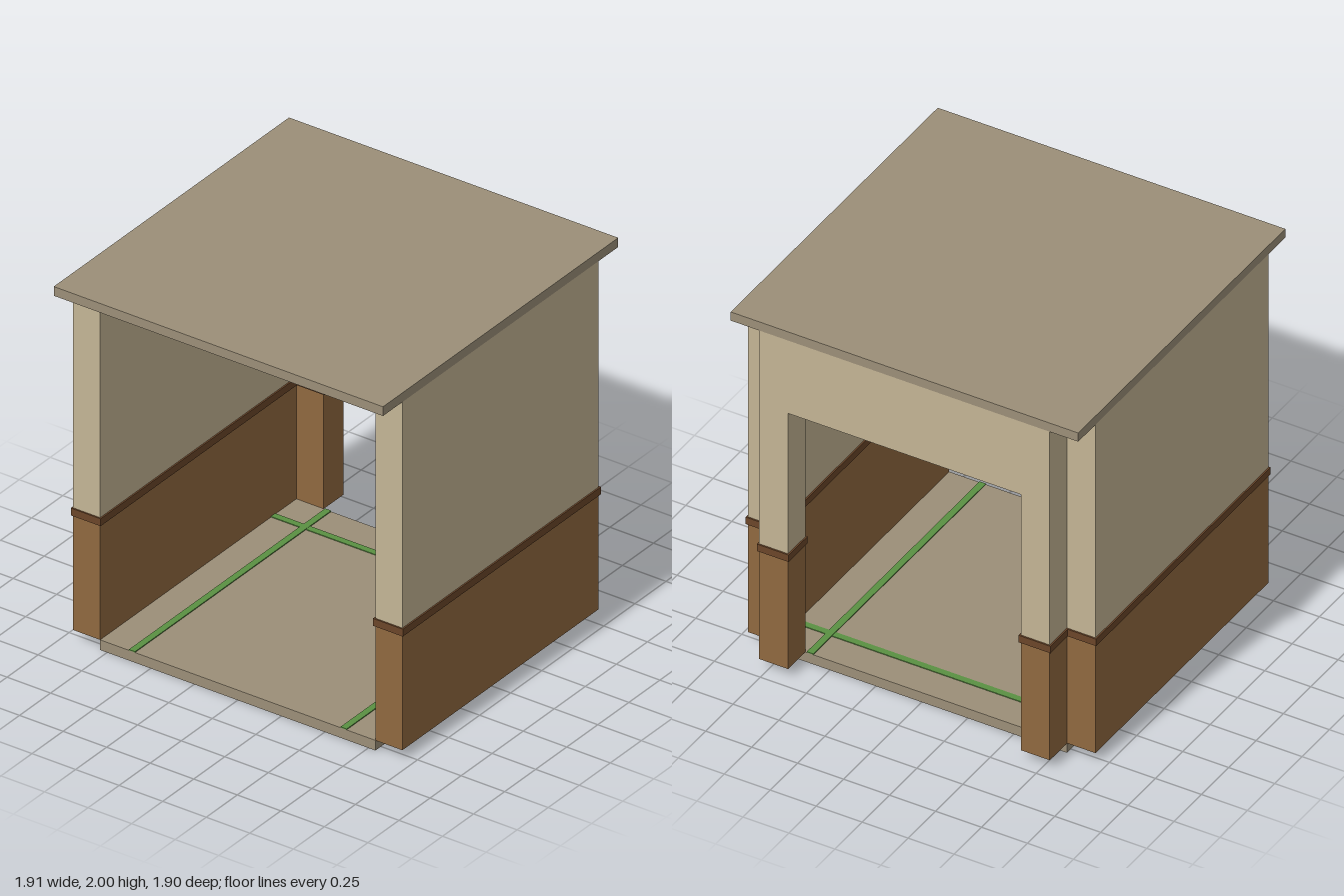
import * as THREE from 'three';

const mat = (name, color) => {
  const m = new THREE.MeshStandardMaterial({ color });
  m.name = name;
  return m;
};

export function createModel() {
  const stone = mat('stone', 0x9c8f78);
  const plaster = mat('plaster', 0xc4b595);
  const wood = mat('wood', 0x906940);
  const darkWood = mat('dark wood', 0x6b4629);
  const green = mat('green', 0x5a9142);
  const darkMetal = mat('dark metal', 0x2c3a43);
  const lampGlass = mat('lamp glass', 0xcdcab6);

  const model = new THREE.Group();
  model.name = 'shelter';

  // Box given by its lower and upper limits on each axis
  const box = (parent, name, material, [x0, x1], [y0, y1], [z0, z1]) => {
    const mesh = new THREE.Mesh(new THREE.BoxGeometry(x1 - x0, y1 - y0, z1 - z0), material);
    mesh.position.set((x0 + x1) / 2, (y0 + y1) / 2, (z0 + z1) / 2);
    mesh.name = name;
    parent.add(mesh);
  };

  const FLOOR = 0.055, RAIL = 0.68, RAIL_TOP = 0.72, CEILING = 1.95, LIP = 0.008;
  const IN = 0.79, OUT = 0.945, DOOR = 0.633, DOOR_TOP = 1.53;
  const BACK = -0.943, INNER_BACK = -0.785, FRONT = 0.795;

  box(model, 'floor', stone, [-IN, IN], [0, FLOOR], [INNER_BACK, FRONT]);
  box(model, 'roof', stone, [-OUT, OUT], [CEILING, 2], [BACK, 0.951]);

  // Wall section: wooden panelling, projecting rail, plaster above
  const wall = (name, x, z) => {
    const g = new THREE.Group();
    g.name = name;
    box(g, 'panelling', wood, x, [FLOOR, RAIL], z);
    box(g, 'rail', darkWood, [x[0] - LIP, x[1] + LIP], [RAIL, RAIL_TOP], [z[0] - LIP, z[1] + LIP]);
    box(g, 'plasterWall', plaster, x, [RAIL_TOP, CEILING], z);
    model.add(g);
  };
  for (const [side, s] of [['left', 1], ['right', -1]]) {
    const span = (a, b) => (s > 0 ? [a, b] : [-b, -a]);
    wall(side + 'Wall', span(IN, OUT), [INNER_BACK, FRONT]);
    wall(side + 'DoorPier', span(DOOR, IN), [BACK, INNER_BACK]);
    box(model, side + 'FloorStripe', green, span(0.59, 0.625), [FLOOR, FLOOR + 0.005], [INNER_BACK, FRONT]);
  }
  box(model, 'doorLintel', plaster, [-DOOR, DOOR], [DOOR_TOP, CEILING], [BACK, INNER_BACK]);
  box(model, 'crossFloorStripe', green, [-IN, IN], [FLOOR, FLOOR + 0.004], [-0.615, -0.58]);

  // Ceiling lamp
  box(model, 'lampFrame', darkMetal, [-0.263, 0.263], [1.92, CEILING], [-0.259, 0.267]);
  box(model, 'lampPanel', lampGlass, [-0.228, 0.228], [1.912, 1.92], [-0.224, 0.232]);

  return model;
}
